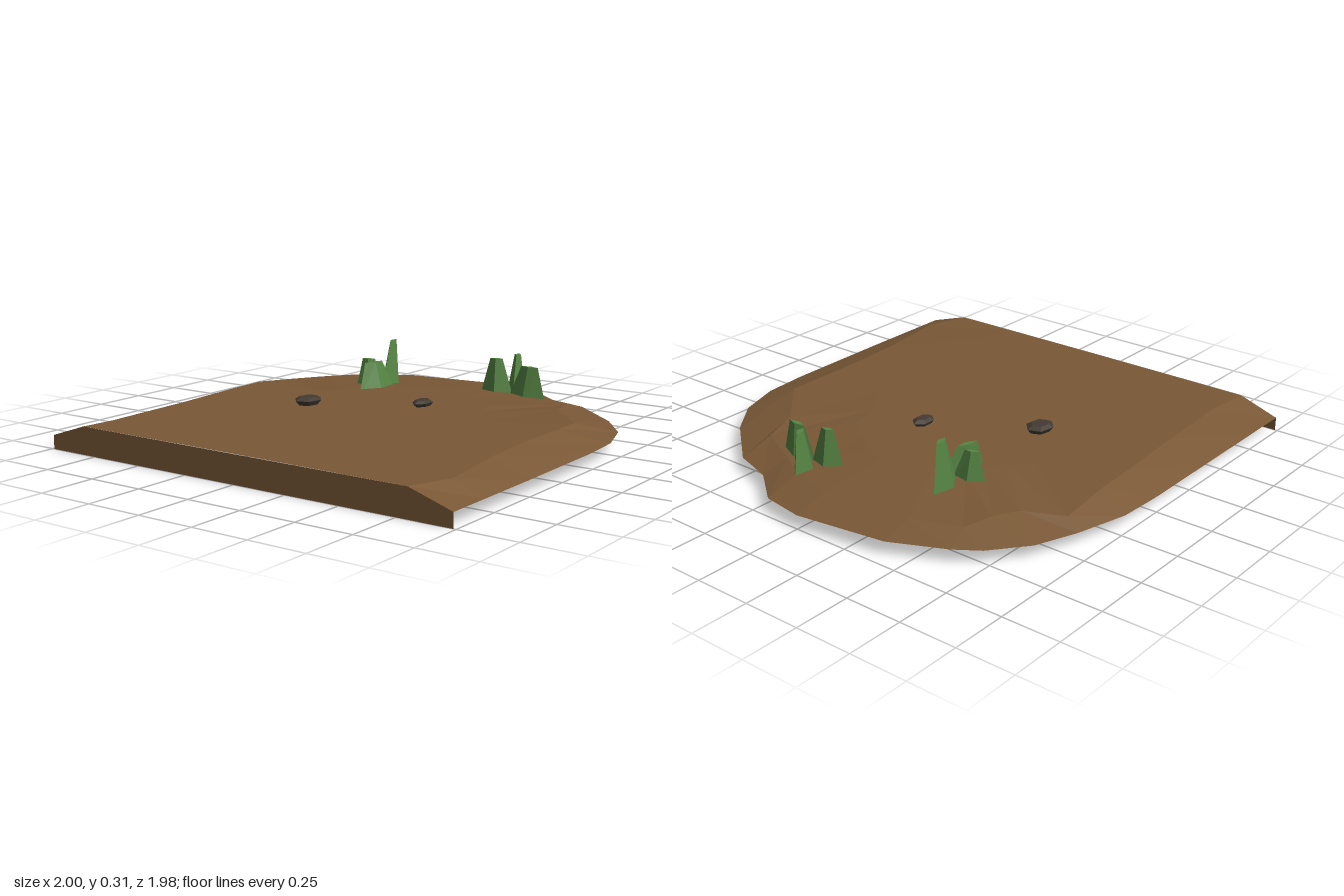
import * as THREE from 'three';

const soil = new THREE.MeshStandardMaterial({ name: 'soilBrown', color: 0x795836, flatShading: true, side: THREE.DoubleSide });
const green = new THREE.MeshStandardMaterial({ name: 'leafGreen', color: 0x568544, flatShading: true });
const stone = new THREE.MeshStandardMaterial({ name: 'stoneGrey', color: 0x443b33, flatShading: true });

// Outer edge (x, z) at y = 0.06, from back left round to front left
const RIM = [
  [-1, -0.99], [-0.8, -0.99], [-0.4, -0.99], [0, -0.99], [0.2, -0.98], [0.43, -0.92], [0.61, -0.85],
  [0.76, -0.73], [0.83, -0.63], [0.94, -0.4], [0.97, -0.2], [1, 0], [0.97, 0.19], [0.84, 0.355],
  [0.78, 0.54], [0.58, 0.775], [0.41, 0.905], [0.21, 0.97], [0, 0.985], [-0.5, 0.99], [-0.8, 0.99], [-1, 0.99],
];
// Shoulder where the slope meets the flat top (x, y, z)
const SHOULDER = [
  [-1, 0.12, -0.81], [-0.78, 0.12, -0.79], [-0.4, 0.121, -0.81], [-0.05, 0.122, -0.835], [0.15, 0.121, -0.845],
  [0.4, 0.095, -0.85], [0.5, 0.11, -0.7], [0.6, 0.107, -0.64], [0.72, 0.095, -0.6], [0.8, 0.1, -0.4],
  [0.83, 0.1, -0.15], [0.85, 0.1, 0], [0.8, 0.1, 0.2], [0.72, 0.1, 0.33], [0.61, 0.1, 0.55], [0.44, 0.115, 0.6],
  [0.22, 0.12, 0.8], [0.08, 0.12, 0.8], [-0.2, 0.121, 0.8], [-0.45, 0.12, 0.815], [-0.81, 0.118, 0.865], [-1, 0.12, 0.8],
];

function groundSheet() {
  const shrink = (fx, fz, y) => SHOULDER.map(([x, , z]) => [-1 + (x + 1) * fx, y, z * fz]);
  const rings = [RIM.map(([x, z]) => [x, 0.06, z]), SHOULDER, shrink(0.82, 0.6, 0.121), shrink(0.7, 0, 0.122)];
  const pos = [];
  for (let k = 0; k < rings.length - 1; k++) {
    for (let i = 0; i < RIM.length - 1; i++) {
      const a = rings[k][i], b = rings[k][i + 1], c = rings[k + 1][i + 1], d = rings[k + 1][i];
      pos.push(...a, ...d, ...c, ...a, ...c, ...b);
    }
  }
  const g = new THREE.BufferGeometry();
  g.setAttribute('position', new THREE.Float32BufferAttribute(pos, 3));
  g.computeVertexNormals();
  return g;
}

// Four-sided tapering leaf: base and top are [x, y, z, half width]
function blade(base, top, yaw, thick) {
  const g = new THREE.CylinderGeometry(1, 1, 1, 4);
  const p = g.attributes.position;
  const c = Math.cos(yaw), s = Math.sin(yaw);
  for (let i = 0; i < p.count; i++) {
    const [x, y, z, w] = p.getY(i) > 0 ? top : base;
    const t = p.getY(i) > 0 ? thick * 0.3 : thick;
    const u = p.getX(i) * w, v = p.getZ(i) * t;
    p.setXYZ(i, x + u * c + v * s, y, z - u * s + v * c);
  }
  g.computeVertexNormals();
  const m = new THREE.Mesh(g, green);
  m.name = 'grassBlade';
  return m;
}

function tuft(name, blades) {
  const g = new THREE.Group();
  g.name = name;
  for (const b of blades) g.add(blade(...b));
  return g;
}

// Flat faceted pebble sunk into the ground
function pebble(name, x, z, rx, rz, h, turn) {
  const profile = [[0, 0.1], [0.45, 0.1], [1, h - 0.012], [0.65, h], [0, h]].map(([r, y]) => new THREE.Vector2(r, y));
  const m = new THREE.Mesh(new THREE.LatheGeometry(profile, 6).rotateY(turn).scale(rx, 1, rz), stone);
  m.position.set(x, 0, z);
  m.name = name;
  return m;
}

export function createModel() {
  const model = new THREE.Group();
  model.name = 'groundTile';

  const ground = new THREE.Mesh(groundSheet(), soil);
  ground.name = 'ground';
  model.add(ground);

  // Upright wall closing the straight side
  const outline = [[-0.99, 0], [0.99, 0], [0.99, 0.06], [0.8, 0.12], [-0.81, 0.12], [-0.99, 0.06]];
  const wall = new THREE.Mesh(
    new THREE.ShapeGeometry(new THREE.Shape(outline.map(([z, y]) => new THREE.Vector2(z, y)))).rotateY(-Math.PI / 2), soil);
  wall.position.x = -1;
  wall.name = 'sideWall';
  model.add(wall);

  model.add(pebble('largePebble', -0.12, -0.335, 0.072, 0.058, 0.155, 0.3));
  model.add(pebble('smallPebble', 0.14, 0.095, 0.06, 0.04, 0.149, Math.PI / 6));

  model.add(tuft('backGrass', [
    [[0.37, 0.05, -0.305, 0.125], [0.37, 0.237, -0.335, 0.05], -0.27, 0.045],
    [[0.42, 0.055, -0.38, 0.085], [0.415, 0.24, -0.395, 0.03], -1.25, 0.04],
    [[0.515, 0.055, -0.345, 0.105], [0.545, 0.315, -0.345, 0.035], 0.2, 0.05],
  ]));
  model.add(tuft('frontGrass', [
    [[0.66, 0.055, 0.315, 0.11], [0.66, 0.24, 0.33, 0.045], 1.5, 0.045],
    [[0.66, 0.055, 0.16, 0.09], [0.66, 0.262, 0.155, 0.03], -1.4, 0.045],
    [[0.74, 0.05, 0.215, 0.085], [0.76, 0.272, 0.21, 0.03], 0.3, 0.05],
  ]));
  return model;
}
